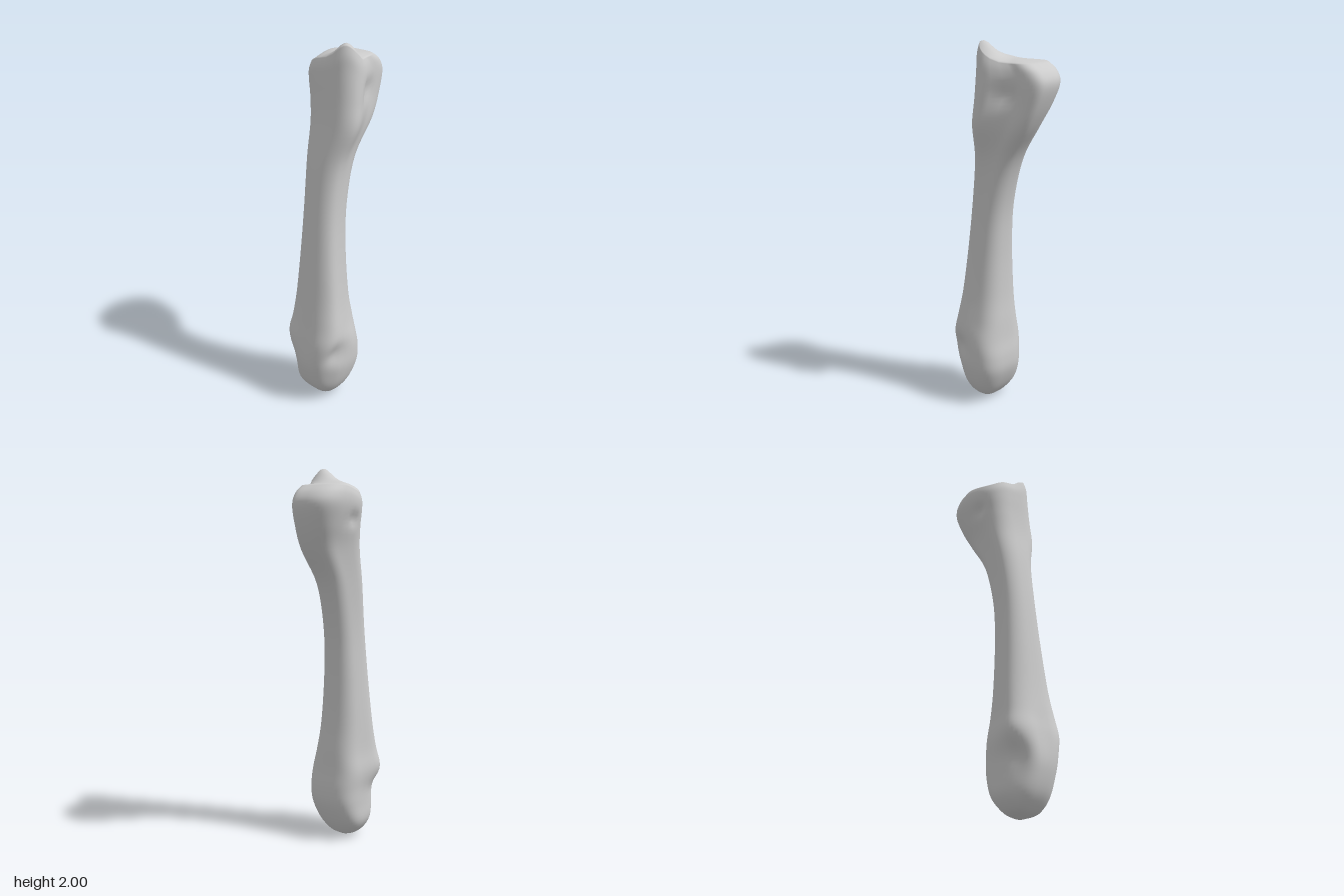
import * as THREE from 'three';

// Cross-sections from the lower head to the upper base:
// y, left x, right x, back z, front z, back-left width, back-right width, front width
const SECTIONS = [
  [0.005, -0.03, 0.02, 0.09, 0.14, 1, 1, 1],
  [0.03, -0.09, 0.08, 0.055, 0.195, 1, 1, 0.95],
  [0.1, -0.14, 0.13, 0.005, 0.25, 1, 1, 0.85],
  [0.2, -0.15, 0.16, -0.035, 0.28, 0.95, 1, 0.8],
  [0.29, -0.16, 0.172, -0.04, 0.29, 0.9, 0.97, 0.88],
  [0.39, -0.187, 0.185, -0.027, 0.285, 0.8, 0.88, 0.97],
  [0.5, -0.168, 0.168, -0.018, 0.262, 0.8, 0.82, 1],
  [0.65, -0.153, 0.143, -0.005, 0.24, 0.82, 0.82, 1],
  [0.9, -0.132, 0.113, 0, 0.215, 0.85, 0.85, 1],
  [1.15, -0.122, 0.098, -0.017, 0.19, 0.85, 0.85, 1],
  [1.4, -0.134, 0.114, -0.085, 0.157, 0.8, 0.7, 1],
  [1.58, -0.147, 0.172, -0.2, 0.124, 0.8, 0.47, 1],
  [1.7, -0.162, 0.17, -0.26, 0.11, 0.92, 0.45, 1],
  [1.8, -0.178, 0.163, -0.288, 0.105, 1, 0.5, 1],
  [1.86, -0.179, 0.158, -0.262, 0.1, 1, 0.52, 1],
  [1.9, -0.165, 0.147, -0.205, 0.083, 1, 0.54, 1],
];
const SIDES = 48, STEPS = 5, CAP_RINGS = 8;

// Hollows: centre x, y, z, radius in y, radius in z, depth
const HOLLOWS = [
  [0.16, 0.34, 0.19, 0.07, 0.06, 0.03],
  [-0.16, 0.27, 0.21, 0.06, 0.06, 0.018],
  [0.1, 1.74, -0.1, 0.05, 0.04, 0.025],
  [-0.17, 1.74, -0.03, 0.04, 0.03, 0.02],
];

const bell = (d, r) => Math.exp(-(d * d) / (r * r));
const { smoothstep, lerp, clamp } = THREE.MathUtils;

// Height of the joint surface relative to its flat rear part
function topRelief(x, z) {
  const peak = 0.082 * bell(x - 0.1, 0.065) * bell(z - 0.055, 0.065);
  const frontLip = 0.03 * bell(x - 0.02, 0.1) * bell(z - 0.05, 0.07);
  const leftDrop = 0.035 * smoothstep(-x, 0.06, 0.18) * smoothstep(z, -0.12, 0.06);
  return peak + frontLip - leftDrop;
}

function catmull(p0, p1, p2, p3, t) {
  return 0.5 * (2 * p1 + (p2 - p0) * t + (2 * p0 - 5 * p1 + 4 * p2 - p3) * t * t
    + (3 * p1 - p0 - 3 * p2 + p3) * t * t * t);
}

function sectionAt(u) {
  const last = SECTIONS.length - 1;
  const i = Math.min(Math.floor(u), last - 1);
  const row = k => SECTIONS[clamp(k, 0, last)];
  return SECTIONS[0].map((_, c) => catmull(row(i - 1)[c], row(i)[c], row(i + 1)[c], row(i + 2)[c], u - i));
}

// One point of a rounded section, squarer at both ends of the bone,
// narrowed towards its back and front
function sectionPoint([y, xl, xr, zb, zf, backL, backR, front], angle, scale) {
  const power = lerp(0.8, 0.65, smoothstep(Math.abs(y - 1), 0.3, 0.7));
  const round = v => Math.sign(v) * Math.pow(Math.abs(v), power);
  const sx = round(Math.sin(angle)), sz = round(Math.cos(angle));
  const width = lerp(1, sx > 0 ? backR : backL, smoothstep(-sz, -0.75, 0.45))
    * lerp(1, front, smoothstep(sz, 0, 0.9));
  let x = (xl + xr) / 2 + sx * width * scale * (xr - xl) / 2;
  const z = (zb + zf) / 2 + sz * scale * (zf - zb) / 2;
  const side = Math.sign(sx) * Math.min(1, Math.abs(sx) * 2);
  for (const [hx, hy, hz, ry, rz, depth] of HOLLOWS) {
    if (hx * side > 0) x -= side * depth * bell(y - hy, ry) * bell(z - hz, rz);
  }
  const lift = smoothstep(y, 1.6, 1.89);
  // shallow groove down the front of the lower head
  const groove = 0.012 * Math.max(0, sz) * bell(x, 0.05) * bell(y - 0.38, 0.1);
  return [x, y + lift * topRelief(x, z), z - groove];
}

function boneGeometry() {
  const rings = [];
  const count = (SECTIONS.length - 1) * STEPS;
  for (let i = 0; i <= count; i++) rings.push([sectionAt(i / STEPS), 1]);
  // joint surface closing the upper end
  const rim = SECTIONS[SECTIONS.length - 1];
  for (let i = 1; i <= CAP_RINGS; i++) {
    const s = 1 - i / CAP_RINGS;
    rings.push([[rim[0] + 0.012 * (1 - s * s), ...rim.slice(1)], s]);
  }
  // rounded tip closing the lower end
  rings.unshift([[0, ...SECTIONS[0].slice(1)], 0]);

  const positions = [], index = [];
  rings.forEach(([section, scale], i) => {
    for (let j = 0; j < SIDES; j++) {
      positions.push(...sectionPoint(section, (j / SIDES) * Math.PI * 2, scale));
      if (i === rings.length - 1) continue;
      const k = (j + 1) % SIDES;
      const a = i * SIDES + j, b = i * SIDES + k;
      const c = b + SIDES, d = a + SIDES;
      if (scale > 0) index.push(a, b, c);
      if (rings[i + 1][1] > 0) index.push(a, c, d);
    }
  });
  // share one normal at each closed end
  const geometry = new THREE.BufferGeometry();
  geometry.setAttribute('position', new THREE.Float32BufferAttribute(positions, 3));
  const lastRing = (rings.length - 1) * SIDES;
  geometry.setIndex(index.map(v => (v < SIDES ? 0 : v >= lastRing ? lastRing : v)));
  geometry.computeVertexNormals();
  return geometry;
}

export function createModel() {
  const group = new THREE.Group();
  group.name = 'footBone';
  const bone = new THREE.Mesh(boneGeometry(), new THREE.MeshStandardMaterial({ color: 0xcccccc }));
  bone.name = 'longBone';
  group.add(bone);
  return group;
}
